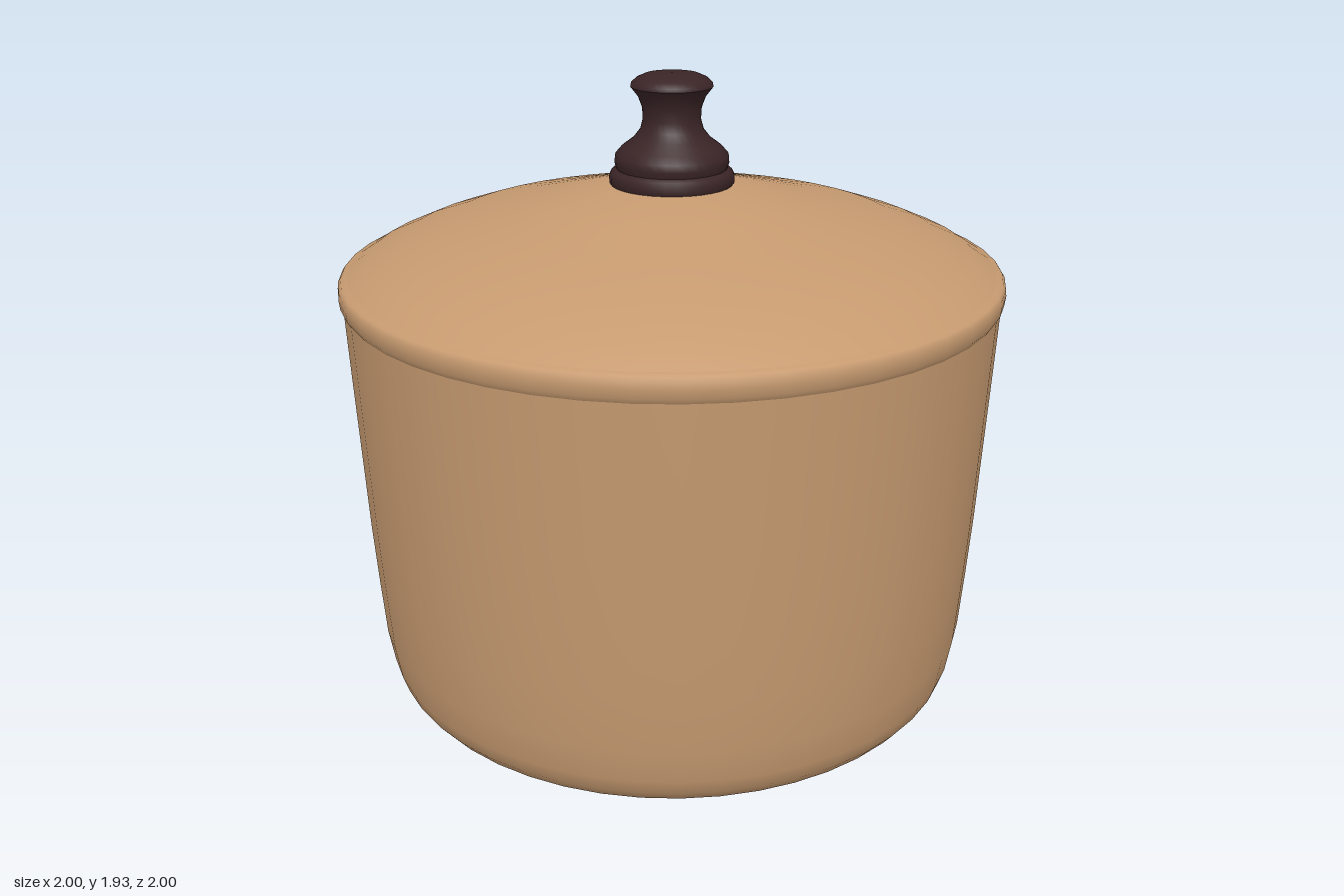
import * as THREE from 'three';

const clay = new THREE.MeshStandardMaterial({ color: 0xc69a70 });
clay.name = 'tan enamel';
const dark = new THREE.MeshStandardMaterial({ color: 0x3a2426 });
dark.name = 'dark brown';

// Turned part from a profile of [radius, height], listed from bottom to top
function turned(name, profile, material, segments = 48) {
  const points = profile.map(([r, y]) => new THREE.Vector2(r, y));
  const mesh = new THREE.Mesh(new THREE.LatheGeometry(points, segments), material);
  mesh.name = name;
  return mesh;
}

export function createModel() {
  const pot = new THREE.Group();
  pot.name = 'lidded pot';

  // Tapered body with a rounded foot and slightly domed base
  pot.add(turned('body', [
    [0, 0], [0.5, 0.008], [0.8, 0.018], [0.865, 0.038], [0.895, 0.075], [0.912, 0.125],
    [0.93, 0.23], [0.943, 0.4], [0.956, 0.6], [0.968, 0.85], [0.979, 1.08], [0.988, 1.28],
  ], clay));

  // Rolled rim
  pot.add(turned('rim', [
    [0.988, 1.28], [0.997, 1.295], [1, 1.32], [0.998, 1.34], [0.99, 1.352], [0.972, 1.358],
  ], clay));

  // Sloping lid, rounded near the rim
  pot.add(turned('lid', [
    [0.972, 1.358], [0.91, 1.398], [0.81, 1.442], [0.69, 1.483], [0.55, 1.515],
    [0.38, 1.556], [0.19, 1.603], [0, 1.61],
  ], clay));

  // Turned knob: collar, bulb with a waisted neck, and a flat cap
  const knob = new THREE.Group();
  knob.name = 'knob';
  knob.add(
    turned('knobCollar', [
      [0.18, 1.598], [0.187, 1.608], [0.187, 1.628], [0.18, 1.642], [0.165, 1.65],
    ], dark, 32),
    turned('knobStem', [
      [0.165, 1.648], [0.171, 1.668], [0.169, 1.69], [0.15, 1.712], [0.115, 1.738],
      [0.094, 1.765], [0.086, 1.795], [0.088, 1.83], [0.1, 1.862], [0.122, 1.89],
    ], dark, 32),
    turned('knobCap', [
      [0.122, 1.89], [0.12, 1.9], [0.105, 1.914], [0.08, 1.925], [0, 1.93],
    ], dark, 32),
  );
  pot.add(knob);

  return pot;
}
